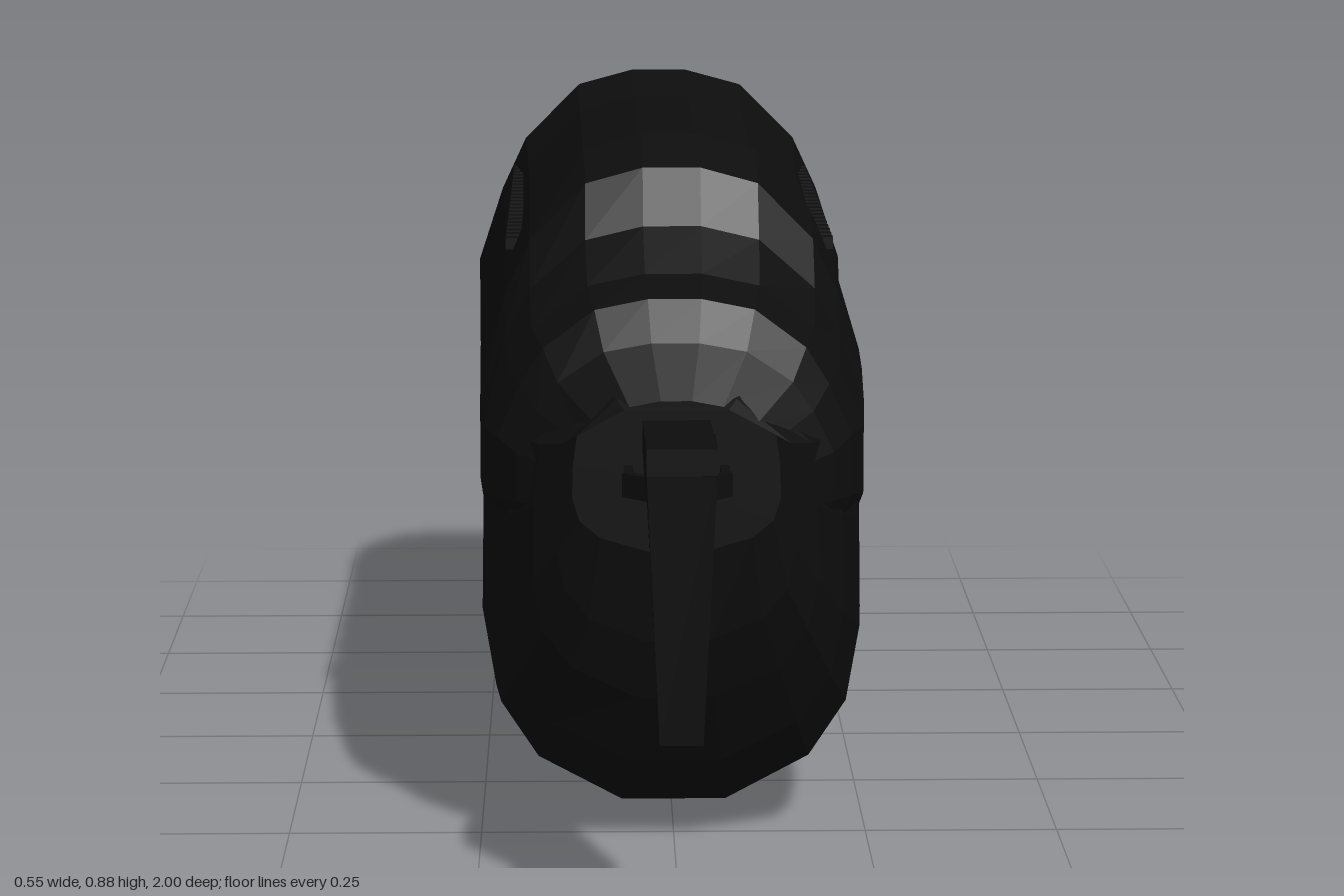
import * as THREE from 'three';
import { RoundedBoxGeometry } from 'three/addons/geometries/RoundedBoxGeometry.js';

const black = new THREE.MeshStandardMaterial({ color: 0x0d0d0d, flatShading: true });
black.name = 'matte black';

function add(parent, name, geometry, x = 0, y = 0, z = 0) {
  const mesh = new THREE.Mesh(geometry, black);
  mesh.name = name;
  mesh.position.set(x, y, z);
  parent.add(mesh);
  return mesh;
}

// Loft a mirrored half outline (x 0..1, y 0..1, bottom to top) through [z, bottom, top, halfWidth]
function loft(half, sections) {
  const ring = [...half, ...half.map(([x, y]) => [-x, y]).reverse()];
  const n = ring.length, pos = [], idx = [];
  for (const [z, b, t, w] of sections) {
    for (const [x, y] of ring) pos.push(x * w, b + y * (t - b), z);
  }
  const last = sections.length - 1;
  for (const i of [0, last]) pos.push(0, (sections[i][1] + sections[i][2]) / 2, sections[i][0]);
  const front = n * (last + 1), back = front + 1;
  for (let j = 0; j < n; j++) {
    const k = (j + 1) % n;
    for (let i = 0; i < last; i++) {
      const a = i * n + j, b = i * n + k;
      idx.push(a, a + n, b, b, a + n, b + n);
    }
    idx.push(front, j, k, back, last * n + k, last * n + j);
  }
  const g = new THREE.BufferGeometry();
  g.setAttribute('position', new THREE.Float32BufferAttribute(pos, 3));
  g.setIndex(idx);
  g.computeVertexNormals();
  return g;
}

// Extrude a side outline of [z, y] points across x, narrowing towards the bottom
function sidePlate(points, topHalf, bottomHalf, hole) {
  const toV = (p) => new THREE.Vector2(p[0], p[1]);
  const shape = new THREE.Shape(points.map(toV));
  if (hole) shape.holes.push(new THREE.Path(hole.map(toV)));
  const g = new THREE.ExtrudeGeometry(shape, { depth: 2, bevelEnabled: false });
  g.translate(0, 0, -1);
  g.rotateY(-Math.PI / 2);
  const p = g.attributes.position;
  for (let i = 0; i < p.count; i++) {
    const t = THREE.MathUtils.clamp((p.getY(i) - 0.23) / 0.35, 0, 1);
    p.setX(i, p.getX(i) * THREE.MathUtils.lerp(bottomHalf, topHalf, t));
  }
  g.computeVertexNormals();
  return g;
}

export function createModel() {
  const model = new THREE.Group();
  model.name = 'model';

  // Long upper shell
  add(model, 'upperShell', loft(
    [[0.15, 0], [0.45, 0.03], [0.76, 0.12], [0.91, 0.22], [1, 0.35], [1, 0.55],
      [0.87, 0.72], [0.74, 0.84], [0.45, 0.965], [0.15, 1]],
    [[0.675, 0.4, 0.61, 0.13], [0.6, 0.36, 0.67, 0.2], [0.56, 0.33, 0.72, 0.225],
      [0.48, 0.3, 0.74, 0.245], [0.4, 0.28, 0.79, 0.25], [0.35, 0.27, 0.86, 0.25],
      [0.25, 0.25, 0.893, 0.252], [0.15, 0.25, 0.862, 0.255], [-0.2, 0.255, 0.862, 0.26],
      [-0.47, 0.25, 0.862, 0.266], [-0.6, 0.25, 0.887, 0.273], [-0.68, 0.26, 0.88, 0.267],
      [-0.77, 0.27, 0.83, 0.25], [-0.82, 0.3, 0.76, 0.22], [-0.845, 0.33, 0.67, 0.19],
      [-0.89, 0.37, 0.61, 0.14], [-0.915, 0.42, 0.5, 0.08]]));

  // Deep lower shell under the front half
  add(model, 'lowerShell', loft(
    [[0.28, 0.005], [0.73, 0.1], [0.93, 0.22], [1, 0.38], [0.99, 0.62], [0.95, 0.82], [0.5, 1]],
    [[0.68, 0.42, 0.6, 0.13], [0.66, 0.3, 0.61, 0.15], [0.63, 0.22, 0.62, 0.18],
      [0.57, 0.12, 0.64, 0.215], [0.5, 0.05, 0.66, 0.24], [0.35, 0.025, 0.68, 0.25],
      [0.1, 0.035, 0.7, 0.25], [-0.04, 0.005, 0.7, 0.25], [-0.15, 0.05, 0.69, 0.243],
      [-0.25, 0.17, 0.68, 0.23], [-0.28, 0.24, 0.66, 0.2], [-0.3, 0.3, 0.6, 0.15]]));

  // Flat block at the rear end
  add(model, 'rearBlock', new RoundedBoxGeometry(0.28, 0.07, 0.23, 2, 0.015), 0, 0.275, -0.885);

  // Open shoulder stock
  const stock = new THREE.Group();
  stock.name = 'stock';
  model.add(stock);
  add(stock, 'stockFrame', sidePlate(
    [[1, 0.59], [0.98, 0.25], [0.875, 0.225], [0.78, 0.5], [0.77, 0.59]], 0.042, 0.025,
    [[0.945, 0.51], [0.97, 0.262], [0.88, 0.237], [0.835, 0.36], [0.88, 0.36], [0.88, 0.51]]));
  add(stock, 'stockPad', sidePlate(
    [[1, 0.58], [1, 0.612], [0.905, 0.612], [0.88, 0.6], [0.65, 0.585], [0.65, 0.545], [0.9, 0.545]],
    0.042, 0.042));
  add(stock, 'stockTube', new THREE.BoxGeometry(0.06, 0.03, 0.16), 0, 0.515, 0.72);

  // Mirrored side details
  for (const [s, side] of [[1, 'left'], [-1, 'right']]) {
    const details = new THREE.Group();
    details.name = side + 'Details';
    model.add(details);
    add(details, 'stockRod', new THREE.BoxGeometry(0.012, 0.03, 0.08), s * 0.06, 0.515, 0.69);
    const brace = add(details, 'stockBrace', new THREE.BoxGeometry(0.012, 0.03, 0.045), s * 0.048, 0.515, 0.74);
    brace.rotation.y = -s * 0.8;
    for (let i = 0; i < 22; i++) {
      add(details, 'railTooth', new THREE.BoxGeometry(0.02, 0.016, 0.018), s * 0.209, 0.74, 0.2 - i * 0.036);
    }
    add(details, 'sidePanel', new THREE.BoxGeometry(0.02, 0.025, 0.16), s * 0.25, 0.54, -0.13);
    add(details, 'frontBracket', new THREE.BoxGeometry(0.05, 0.06, 0.02), s * 0.1, 0.5, 0.665);
  }
  return model;
}
